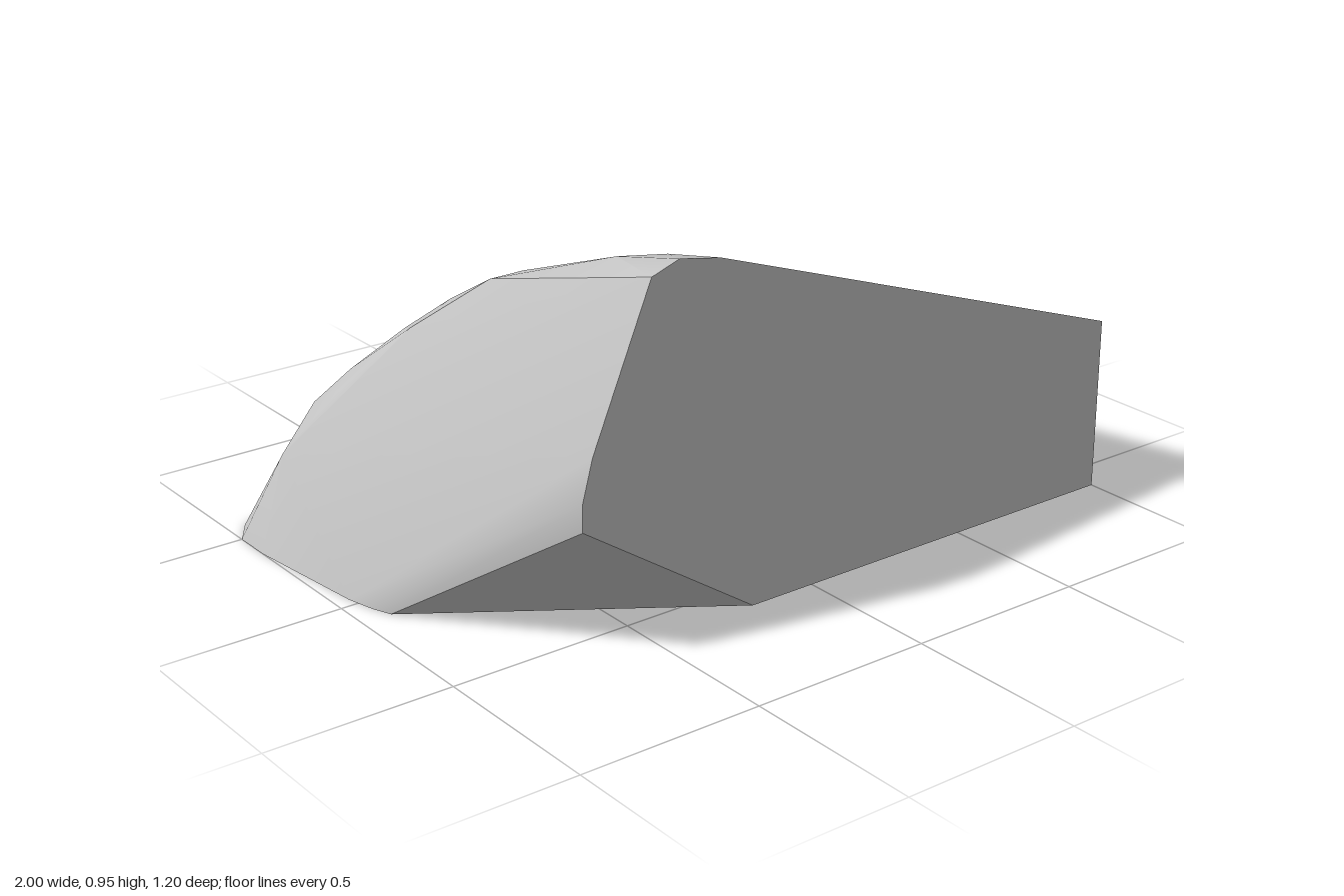
import * as THREE from 'three';
import { ConvexGeometry } from 'three/addons/geometries/ConvexGeometry.js';
import { toCreasedNormals } from 'three/addons/utils/BufferGeometryUtils.js';

// Roof cross-sections as [z, y], from the flat front face down to the ground behind
const tallSection = [[0.6, 0.925], [0.4, 0.88], [0.1, 0.77], [-0.11, 0.645], [-0.23, 0.535],
  [-0.35, 0.4], [-0.44, 0.28], [-0.52, 0.155], [-0.56, 0.075], [-0.592, 0]];
const lowSection = [[0.6, 0.475], [0.42, 0.415], [0.2, 0.34], [0.03, 0.275], [-0.08, 0.215],
  [-0.18, 0.155], [-0.25, 0.108], [-0.32, 0.058], [-0.36, 0.03], [-0.4, 0]];

// Ridge and the rounded rim beside it, as [x, y, z]
const ridge = [[-0.42, 0.947, 0.6], [-0.45, 0.905, 0.4], [-0.51, 0.8, 0.1], [-0.585, 0.685, -0.11],
  [-0.65, 0.585, -0.23], [-0.74, 0.46, -0.35], [-0.8, 0.355, -0.44], [-0.84, 0.2, -0.52],
  [-0.86, 0.09, -0.57]];
const rim = [[-0.5, 0.92, 0.6], [-0.6, 0.795, 0.09], [-0.7, 0.63, -0.12], [-0.8, 0.435, -0.3],
  [-0.905, 0.24, -0.43]];

// Flat end face, the undercut corner and the outline on the ground
const endFace = [[-0.67, 0.52, 0.6], [-0.7, 0.41, 0.6], [-0.7, 0.34, 0.6]];
const ground = [[1, 0, 0.6], [-0.19, 0, 0.6], [-0.92, 0, 0.1], [-0.94, 0, 0.05], [-0.96, 0, -0.03],
  [-1, 0, -0.39], [-1, 0, -0.5], [-0.95, 0, -0.575], [-0.87, 0, -0.598], [-0.7, 0, -0.603]];

export function createModel() {
  const group = new THREE.Group();
  group.name = 'wedgeBlock';
  const grey = new THREE.MeshStandardMaterial({ color: 0xc4c4c4 });
  grey.name = 'plain grey';

  const points = [...ridge, ...rim, ...endFace, ...ground].map((p) => new THREE.Vector3(...p));

  // Roof tapers to the low end, bowing out a little towards the ground
  const steps = 6;
  for (let s = 0; s <= steps; s++) {
    const t = s / steps;
    tallSection.forEach(([z, y], i) => {
      const bow = 0.168 * t * (1 - t) * i / (tallSection.length - 1);
      points.push(new THREE.Vector3(
        THREE.MathUtils.lerp(-0.3, 1, t),
        THREE.MathUtils.lerp(y, lowSection[i][1], t),
        THREE.MathUtils.lerp(z, lowSection[i][0], t) - bow));
    });
  }

  // The body is convex, so its skin is the hull of these sections
  const body = new THREE.Mesh(toCreasedNormals(new ConvexGeometry(points), 0.5), grey);
  body.name = 'body';
  group.add(body);
  return group;
}
